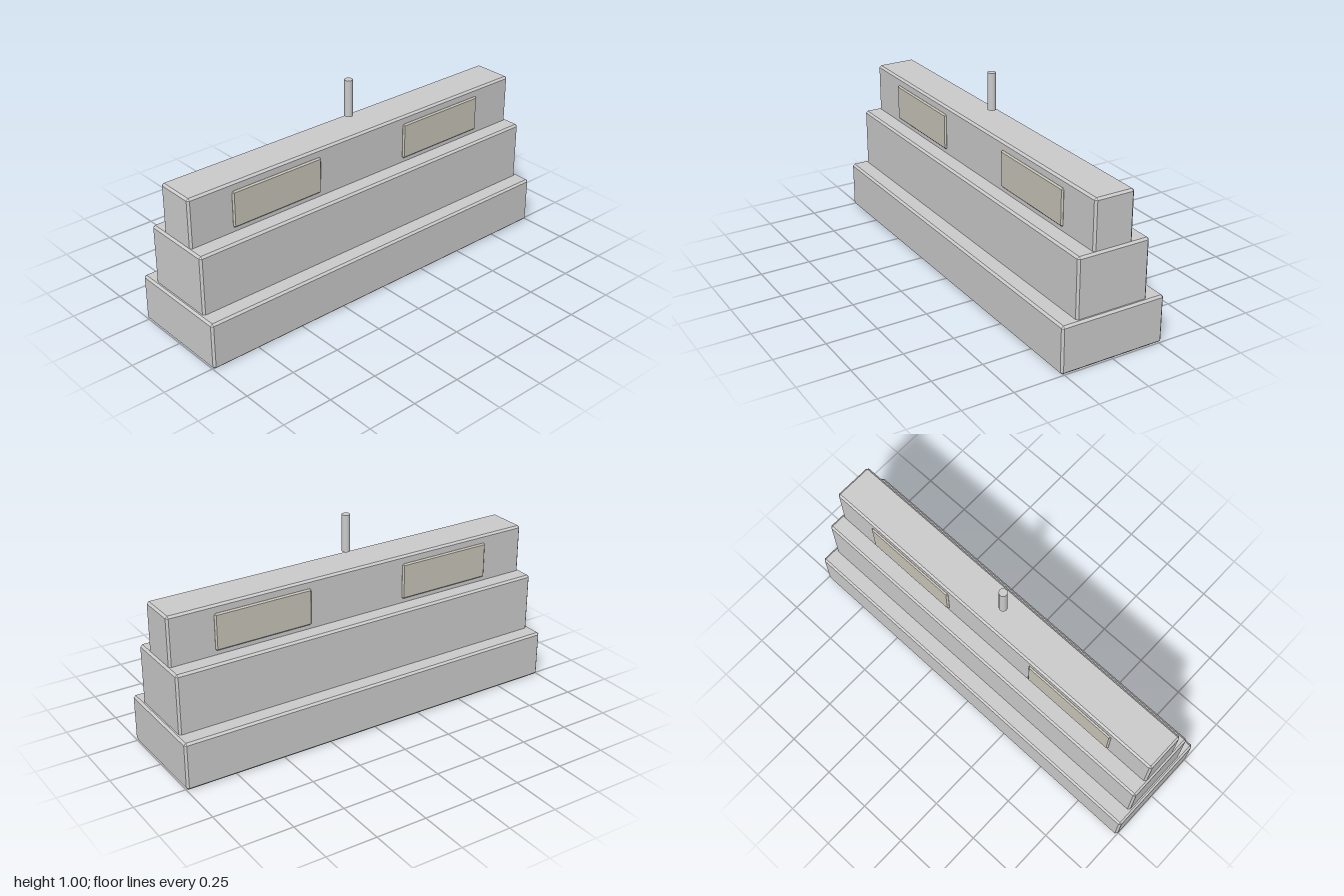
import * as THREE from 'three';
import { ConvexGeometry } from 'three/addons/geometries/ConvexGeometry.js';

const grey = new THREE.MeshStandardMaterial({ color: 0xcccccc });
const warm = new THREE.MeshStandardMaterial({ color: 0xc8c5b8 });

// Box with a flat chamfer c on every edge, spanning y0..y1
function chamferBox(name, width, y0, y1, depth, c, material) {
  const hx = width / 2, hy = (y1 - y0) / 2, hz = depth / 2;
  const points = [];
  for (const x of [-1, 1]) for (const y of [-1, 1]) for (const z of [-1, 1]) {
    points.push(
      new THREE.Vector3(x * hx, y * (hy - c), z * (hz - c)),
      new THREE.Vector3(x * (hx - c), y * hy, z * (hz - c)),
      new THREE.Vector3(x * (hx - c), y * (hy - c), z * hz));
  }
  const mesh = new THREE.Mesh(new ConvexGeometry(points), material);
  mesh.name = name;
  mesh.position.y = (y0 + y1) / 2;
  return mesh;
}

export function createModel() {
  const model = new THREE.Group();
  model.name = 'steppedBlock';

  // Three stacked tiers, the upper ones slightly sunk into the one below
  model.add(
    chamferBox('baseTier', 2, 0, 0.235, 0.53, 0.01, grey),
    chamferBox('middleTier', 1.966, 0.22, 0.527, 0.366, 0.01, grey),
    chamferBox('topTier', 1.946, 0.512, 0.768, 0.2, 0.01, grey));

  // Raised panels, two on the front and two on the back
  for (const side of [-1, 1]) for (const face of [-1, 1]) {
    const panel = chamferBox('panel', 0.494, 0.547, 0.727, 0.03, 0.007, warm);
    panel.position.x = side * 0.5;
    panel.position.z = face * 0.093;
    model.add(panel);
  }

  // Small pin hovering above the top tier
  const pin = new THREE.Mesh(new THREE.CylinderGeometry(0.02, 0.02, 0.182, 16), grey);
  pin.name = 'pin';
  pin.position.y = 0.909;
  model.add(pin);

  return model;
}
